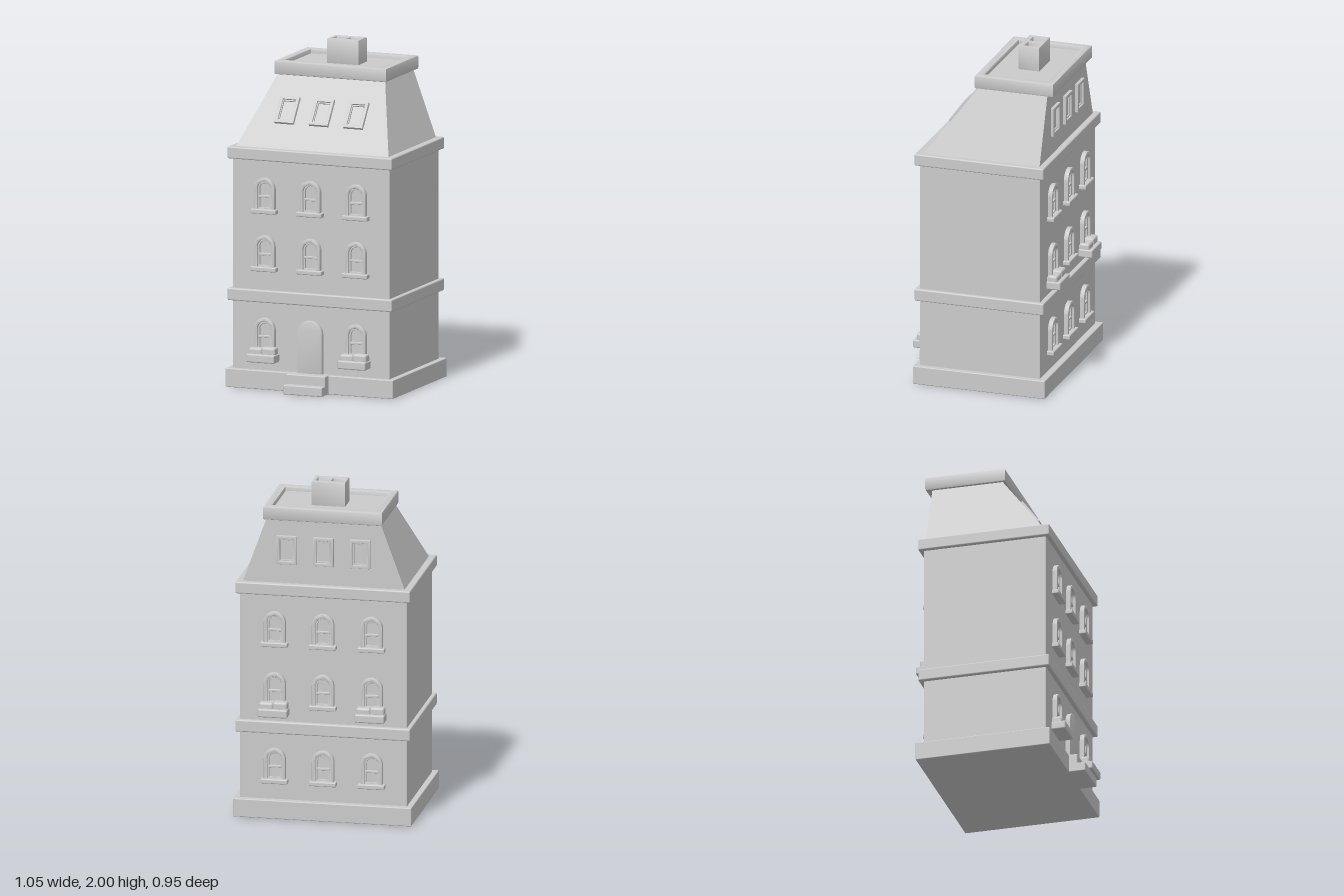
import * as THREE from 'three';
import { RoundedBoxGeometry } from 'three/addons/geometries/RoundedBoxGeometry.js';
import { toCreasedNormals } from 'three/addons/utils/BufferGeometryUtils.js';

const grey = new THREE.MeshStandardMaterial({ color: 0xcccccc });
const FRONT = 0.345, BACK = -0.392;

function add(parent, name, geometry) {
  const mesh = new THREE.Mesh(geometry, grey);
  mesh.name = name;
  parent.add(mesh);
  return mesh;
}

// Softly rounded block given by its extents
function block(parent, name, [x0, x1], [y0, y1], [z0, z1], r = 0.008) {
  const mesh = add(parent, name, new RoundedBoxGeometry(x1 - x0, y1 - y0, z1 - z0, 2, r));
  mesh.position.set((x0 + x1) / 2, (y0 + y1) / 2, (z0 + z1) / 2);
  return mesh;
}

// Round-headed outline standing on y = y0
function arch(w, y0, top, Type = THREE.Shape) {
  const r = w / 2, s = new Type();
  s.moveTo(-r, y0);
  s.lineTo(r, y0);
  s.lineTo(r, top - r);
  s.absarc(0, top - r, r, 0, Math.PI, false);
  s.lineTo(-r, y0);
  return s;
}

function rect(x0, x1, y0, y1, Type = THREE.Shape) {
  const s = new Type();
  s.moveTo(x0, y0);
  s.lineTo(x1, y0);
  s.lineTo(x1, y1);
  s.lineTo(x0, y1);
  s.closePath();
  return s;
}

// Extrusion from z = 0 to z = depth with a small bevel on its front edge
function extrude(shape, depth, bevel = 0.004) {
  const geo = new THREE.ExtrudeGeometry(shape, {
    depth: depth - bevel, curveSegments: 12, bevelThickness: bevel,
    bevelSize: bevel, bevelOffset: -bevel, bevelSegments: 2,
  });
  return toCreasedNormals(geo, 0.6);
}

function ring(outer, ...holes) {
  outer.holes.push(...holes);
  return outer;
}

// Arched sash window; y = 0 is the underside of the sill
function archedWindow(withPlanter) {
  const g = new THREE.Group();
  g.name = 'window';
  add(g, 'windowFrame', extrude(ring(arch(0.13, 0.01, 0.21), arch(0.084, 0.02, 0.187, THREE.Path)), 0.026));
  add(g, 'windowSash', extrude(ring(arch(0.09, 0.015, 0.19), arch(0.064, 0.035, 0.177, THREE.Path)), 0.012, 0.003));
  block(g, 'windowBar', [-0.04, 0.04], [0.092, 0.106], [-0.005, 0.014], 0.003);
  block(g, 'windowSill', [-0.08, 0.08], [0, 0.027], [-0.01, 0.041], 0.006);
  if (withPlanter) {
    block(g, 'planter', [-0.087, 0.087], [-0.046, 0.003], [-0.01, 0.083]);
    for (const s of [-1, 1]) {
      const plant = block(g, 'plant', [-0.042, 0.042], [-0.01, 0.04], [0, 0.062], 0.013);
      plant.position.x = s * 0.041;
      plant.position.y += s * 0.003;
    }
  }
  return g;
}

// Panelled door with an arched surround; y = 0 is the threshold
function door() {
  const g = new THREE.Group();
  g.name = 'door';
  add(g, 'doorFrame', extrude(ring(arch(0.154, -0.01, 0.312), arch(0.108, -0.005, 0.289, THREE.Path)), 0.026));
  add(g, 'doorLeaf', extrude(arch(0.112, 0, 0.291), 0.006, 0.002));
  for (const x of [-0.047, 0, 0.047]) block(g, 'doorStile', [x - 0.006, x + 0.006], [0, 0.235], [0, 0.013], 0.003);
  for (const y of [0.008, 0.085, 0.16, 0.235]) block(g, 'doorRail', [-0.052, 0.052], [y - 0.006, y + 0.006], [0, 0.014], 0.003);
  return g;
}

// Rectangular roof window, centred on its own origin
function roofWindow() {
  const g = new THREE.Group();
  g.name = 'roofWindow';
  const half = 0.086;
  add(g, 'roofWindowFrame', extrude(ring(rect(-0.06, 0.06, -half, half),
    rect(-0.041, 0.041, -half + 0.02, half - 0.02, THREE.Path)), 0.02));
  add(g, 'roofWindowSash', extrude(ring(rect(-0.043, 0.043, -0.068, 0.068),
    rect(-0.036, 0.036, -0.059, 0.059, THREE.Path)), 0.009, 0.002));
  return g;
}

// Box with a smaller top for the mansard roof, upright at the back
function mansardGeometry() {
  const geo = new THREE.BoxGeometry(2, 1, 2);
  const p = geo.attributes.position;
  for (let i = 0; i < p.count; i++) {
    const top = p.getY(i) > 0, front = p.getZ(i) > 0;
    p.setXYZ(i, p.getX(i) * (top ? 0.333 : 0.48), top ? 1.815 : 1.41,
      front ? (top ? 0.03 : 0.327) : -0.384);
  }
  geo.computeVertexNormals();
  return geo;
}

export function createModel() {
  const house = new THREE.Group();
  house.name = 'townHouse';

  // Plinth, walls and bands
  block(house, 'plinth', [-0.527, 0.527], [0, 0.11], [-0.432, 0.377], 0.005);
  block(house, 'lowerStep', [-0.122, 0.122], [0, 0.055], [0.3, 0.476], 0.006);
  block(house, 'upperStep', [-0.122, 0.122], [0.002, 0.112], [0.3, 0.428], 0.006);
  block(house, 'walls', [-0.494, 0.494], [0.09, 1.36], [BACK, FRONT], 0.004);
  block(house, 'stringCourse', [-0.517, 0.517], [0.51, 0.582], [-0.42, 0.37]);
  block(house, 'cornice', [-0.517, 0.517], [1.345, 1.415], [-0.42, 0.37]);

  // Mansard roof and its rimmed cap
  add(house, 'mansardRoof', mansardGeometry());
  block(house, 'roofDeck', [-0.32, 0.32], [1.812, 1.855], [-0.395, 0.02], 0.002);
  const rim = add(house, 'roofRim', extrude(ring(rect(-0.352, 0.352, -0.058, 0.423),
    rect(-0.305, 0.305, -0.01, 0.378, THREE.Path)), 0.072, 0.009));
  rim.rotation.x = -Math.PI / 2;
  rim.position.y = 1.81;

  // Chimney with two flues
  const flues = [-0.044, 0.044].map((x) => rect(x - 0.033, x + 0.033, 0.156, 0.222, THREE.Path));
  const chimney = add(house, 'chimney', extrude(ring(rect(-0.099, 0.099, 0.126, 0.252), ...flues), 0.16, 0.007));
  chimney.rotation.x = -Math.PI / 2;
  chimney.position.y = 1.84;
  block(house, 'flueFloor', [-0.09, 0.09], [1.84, 1.95], [-0.24, -0.14], 0.002);

  // Arched windows: sill heights per floor, planters on the outer ones of one floor
  const sides = [
    { z: FRONT, turn: 0, sills: [0.21, 0.695, 1.035], planterFloor: 0 },
    { z: BACK, turn: Math.PI, sills: [0.21, 0.667, 1.035], planterFloor: 1 },
  ];
  for (const { z, turn, sills, planterFloor } of sides) {
    sills.forEach((y, floor) => {
      for (const x of [-0.287, 0, 0.287]) {
        const isDoor = turn === 0 && floor === 0 && x === 0;
        const opening = isDoor ? door() : archedWindow(floor === planterFloor && x !== 0);
        opening.position.set(x, isDoor ? 0.11 : y, z);
        opening.rotation.y = turn;
        house.add(opening);
      }
    });
  }

  // Roof windows: tilted on the front slope, upright at the back
  for (const x of [-0.217, 0, 0.217]) {
    const front = roofWindow();
    front.position.set(x, 1.614, 0.177);
    front.rotation.x = -Math.atan2(0.297, 0.405);
    house.add(front);
    const back = roofWindow();
    back.position.set(x, 1.617, -0.383);
    back.rotation.y = Math.PI;
    house.add(back);
  }
  return house;
}
